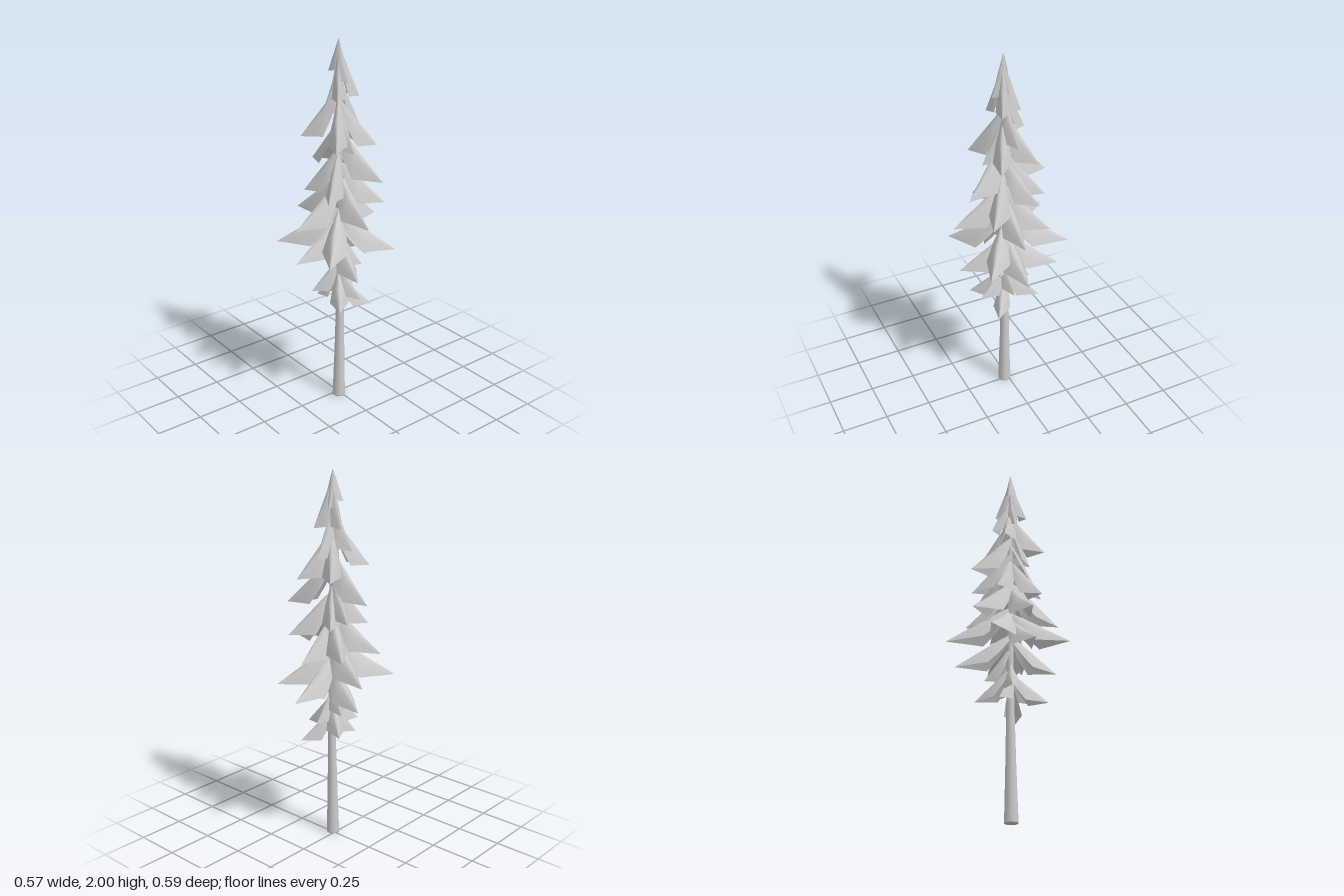
import * as THREE from 'three';

const CX = -0.01, CZ = 0.02; // trunk axis

// Drooping blade: an arched, pointed kite hung from the trunk, ending at the given tip
function createBough(x, y, z, material) {
  const dx = x - CX, dz = z - CZ;
  const r = Math.hypot(dx, dz), ux = dx / r, uz = dz / r;
  const drop = y > 1.75 ? 2 - y : Math.min(0.25, 0.17 + 0.11 * (y - 0.57));
  const halfWidth = 0.02 + 0.15 * r;
  const N = 6;
  const positions = [], index = [];
  const put = (along, height, side) => positions.push(
    CX + ux * along - uz * side, y + height, CZ + uz * along + ux * side);

  // stations: distance out, ridge height, edge height, half width
  const stations = [
    [0, drop, drop * 0.85, 0.008],
    [r * 0.2, drop * 0.83, drop * 0.4, halfWidth * 0.7],
    [r * 0.42, drop * 0.6, drop * 0.04, halfWidth],
    [r * 0.72, drop * 0.29, drop * 0.02, halfWidth * 0.48],
    [r, 0, 0, 0.0005],
  ];
  for (const [out, ridge, edge, width] of stations) {
    for (let i = 0; i <= N; i++) {
      const s = (i / N) * 2 - 1;
      put(out, ridge - (ridge - edge) * Math.pow(Math.abs(s), 1.5), s * width);
    }
  }
  for (let k = 0; k < stations.length - 1; k++) {
    for (let i = 0; i < N; i++) {
      const a = k * (N + 1) + i, b = a + N + 1;
      index.push(a, a + 1, b, a + 1, b + 1, b);
    }
  }
  const geometry = new THREE.BufferGeometry();
  geometry.setAttribute('position', new THREE.Float32BufferAttribute(positions, 3));
  geometry.setIndex(index);
  geometry.computeVertexNormals();
  const mesh = new THREE.Mesh(geometry, material);
  mesh.name = 'bough';
  return mesh;
}

export function createModel() {
  const tree = new THREE.Group();
  tree.name = 'coniferTree';
  const grey = new THREE.MeshStandardMaterial({ color: 0xcccccc, side: THREE.DoubleSide });
  grey.name = 'pale grey';

  // Tapering trunk, closed at the foot, bowing slightly to one side
  const profile = [[0, 0], [0.035, 0], [0.035, 0.004], [0.027, 0.3], [0.021, 0.6], [0.017, 0.9],
    [0.014, 1.2], [0.009, 1.6], [0, 2]].map(([r, y]) => new THREE.Vector2(r, y));
  const trunkGeometry = new THREE.LatheGeometry(profile, 12);
  const p = trunkGeometry.attributes.position;
  for (let i = 0; i < p.count; i++) p.setX(i, p.getX(i) + 0.01 * Math.sin(p.getY(i) * Math.PI / 2));
  const trunk = new THREE.Mesh(trunkGeometry, grey);
  trunk.name = 'trunk';
  trunk.position.set(CX, 0, CZ);
  tree.add(trunk);

  // Bough tips (x, y, z), in tiers from the bottom up
  const tiers = {
    skirt: [[0.135, 0.565, 0.12], [-0.125, 0.605, 0.175], [0.11, 0.635, -0.13], [-0.08, 0.61, -0.08],
      [-0.145, 0.66, -0.04], [0.02, 0.64, 0.17], [0.12, 0.68, 0.02], [0.06, 0.74, -0.1]],
    lower: [[0.1, 0.805, -0.25], [-0.07, 0.795, 0.255], [0.09, 0.8, 0.09], [0.285, 0.84, 0.018],
      [-0.287, 0.875, 0.02], [-0.24, 0.915, 0.245], [0.225, 0.89, 0.205], [-0.25, 0.92, -0.21],
      [0.123, 0.95, -0.295]],
    middle: [[-0.28, 1.05, 0.01], [0.235, 1.04, 0.016], [-0.09, 1.075, -0.24], [-0.035, 1.09, 0.295],
      [0.175, 1.155, 0.165], [0.14, 1.06, -0.175]],
    upper: [[-0.16, 1.2, 0.13], [-0.13, 1.21, -0.12], [0.15, 1.22, -0.105], [0.09, 1.25, -0.165],
      [0.085, 1.305, 0.257], [-0.005, 1.34, -0.215]],
    high: [[-0.005, 1.44, 0.14], [0.16, 1.455, 0.115], [0.145, 1.46, -0.1], [-0.135, 1.47, 0.16],
      [-0.165, 1.51, -0.095], [0.127, 1.56, 0.007]],
    crown: [[-0.023, 1.6, -0.1], [0.08, 1.71, 0.07], [-0.07, 1.7, 0.087], [0.02, 1.71, -0.06],
      [-0.1, 1.63, 0]],
    top: [[-0.005, 1.79, 0.085], [0.035, 1.81, 0.01], [-0.05, 1.84, -0.015]],
  };
  for (const [name, tips] of Object.entries(tiers)) {
    const tier = new THREE.Group();
    tier.name = name + 'Boughs';
    for (const [x, y, z] of tips) tier.add(createBough(x, y, z, grey));
    tree.add(tier);
  }
  return tree;
}
